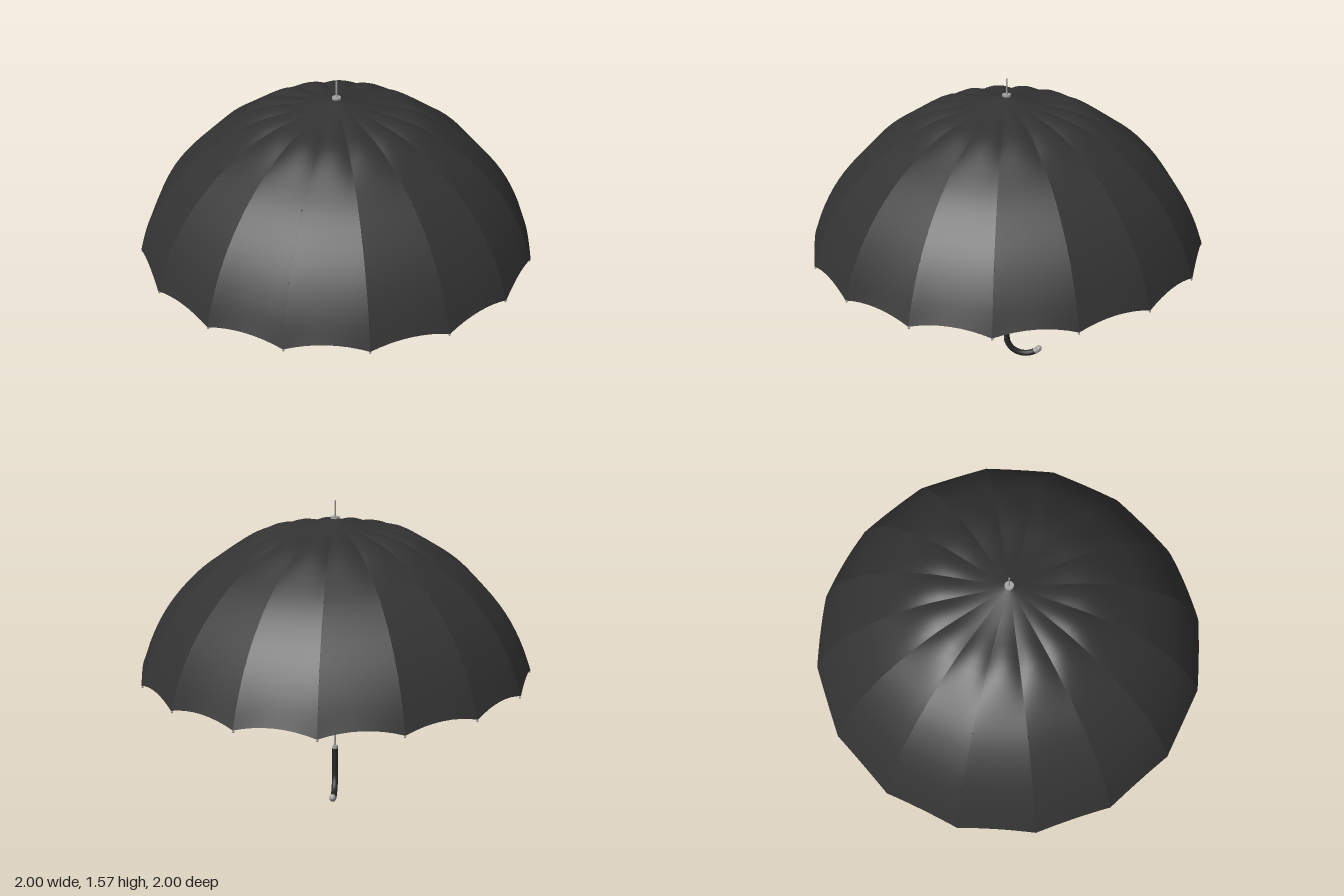
import * as THREE from 'three';

const RIBS = 16;
const STEP = (Math.PI * 2) / RIBS;

export function createModel() {
  const root = new THREE.Group();
  root.name = 'umbrella';

  const fabric = new THREE.MeshStandardMaterial({ name: 'black fabric', color: 0x333333, side: THREE.DoubleSide });
  const grip = new THREE.MeshStandardMaterial({ name: 'dark grip', color: 0x262626 });
  const metal = new THREE.MeshStandardMaterial({ name: 'grey metal', color: 0xa3a3a3 });

  const add = (name, geometry, material, parent = root) => {
    const mesh = new THREE.Mesh(geometry, material);
    mesh.name = name;
    parent.add(mesh);
    return mesh;
  };
  const rod = (name, r, y0, y1, material) =>
    add(name, new THREE.CylinderGeometry(r, r, y1 - y0, 12).translate(0, (y0 + y1) / 2, 0), material);
  const tube = (points, radius, segments, sides) =>
    new THREE.TubeGeometry(new THREE.CatmullRomCurve3(points), segments, radius, sides);

  // Rib line from apex to rim, as radius and height
  const profile = new THREE.CatmullRomCurve3(
    [[0.002, 1.49], [0.05, 1.475], [0.2, 1.438], [0.4, 1.387], [0.63, 1.257], [0.765, 1.134],
      [0.87, 1.0], [0.95, 0.85], [1.0, 0.715]].map(([r, y]) => new THREE.Vector3(0, y, r))
  );

  // One fabric panel: flat between ribs, puffed near the crown, scalloped at the rim
  const panel = new THREE.PlaneGeometry(1, 1, 8, 24);
  const pos = panel.attributes.position;
  const half = STEP / 2;
  for (let i = 0; i < pos.count; i++) {
    const s = pos.getX(i) * 2;
    const v = 0.5 - pos.getY(i);
    const p = profile.getPointAt(v);
    const arch = 1 - s * s;
    const puff = 0.018 * Math.exp(-(((p.z - 0.38) / 0.15) ** 2));
    const lift = 0.03 * v ** 10;
    pos.setXYZ(i, p.z * Math.sin(half) * s, p.y + arch * (puff + lift), p.z * Math.cos(half));
  }
  panel.computeVertexNormals();

  // Rib pieces that run just inside the fabric
  const ribPart = (from, to, count, inset, radius) => {
    const points = [];
    for (let i = 0; i <= count; i++) {
      const t = from + ((to - from) * i) / count;
      const p = profile.getPointAt(t);
      const n = profile.getTangentAt(t);
      points.push(new THREE.Vector3(0, p.y + n.z * -inset, p.z + n.y * inset));
    }
    return tube(points, radius, count * 2, 6);
  };
  const ribGeo = ribPart(0.03, 0.9, 14, 0.004, 0.004);
  const ribEndGeo = ribPart(0.9, 1, 4, 0.005, 0.004);
  const tipGeo = new THREE.SphereGeometry(0.006, 8, 6).translate(0, 0.708, 0.995);
  const stretcherGeo = tube([new THREE.Vector3(0, 1.33, 0.012), new THREE.Vector3(0, 1.415, 0.25)], 0.004, 1, 6);

  const canopy = new THREE.Group();
  canopy.name = 'canopy';
  const frame = new THREE.Group();
  frame.name = 'frame';
  root.add(canopy, frame);
  for (let i = 0; i < RIBS; i++) {
    add('canopyPanel', panel, fabric, canopy).rotation.y = (i + 0.5) * STEP;
    add('rib', ribGeo, grip, frame).rotation.y = i * STEP;
    add('ribEnd', ribEndGeo, metal, frame).rotation.y = i * STEP;
    add('ribTip', tipGeo, metal, frame).rotation.y = i * STEP;
    add('stretcher', stretcherGeo, metal, frame).rotation.y = i * STEP;
  }

  // Shaft, sliding tube, runner and top ferrule
  rod('shaft', 0.005, 0.25, 1.5, metal);
  rod('upperShaft', 0.009, 0.95, 1.47, metal);
  rod('runner', 0.016, 1.31, 1.35, metal);
  rod('crownDisc', 0.022, 1.485, 1.495, metal);
  rod('ferrule', 0.004, 1.49, 1.575, metal);

  // Hooked handle curving to the back
  const R = 0.1, CY = 0.116, END = Math.PI * 0.76;
  const hookPoint = (a) => new THREE.Vector3(0, CY - R * Math.sin(a), -R + R * Math.cos(a));
  const arc = (a0, a1, n) => Array.from({ length: n + 1 }, (_, i) => hookPoint(a0 + ((a1 - a0) * i) / n));
  rod('handleGrip', 0.016, CY, 0.252, grip);
  add('handleHook', tube(arc(0, END - 0.25, 12), 0.016, 32, 14), grip);
  rod('handleCollar', 0.0145, 0.25, 0.268, metal);
  add('handleEndCap', tube(arc(END - 0.27, END, 3), 0.017, 6, 14), metal);
  const end = hookPoint(END);
  add('handleEndDome', new THREE.SphereGeometry(0.017, 14, 10).translate(end.x, end.y, end.z), metal);

  return root;
}
